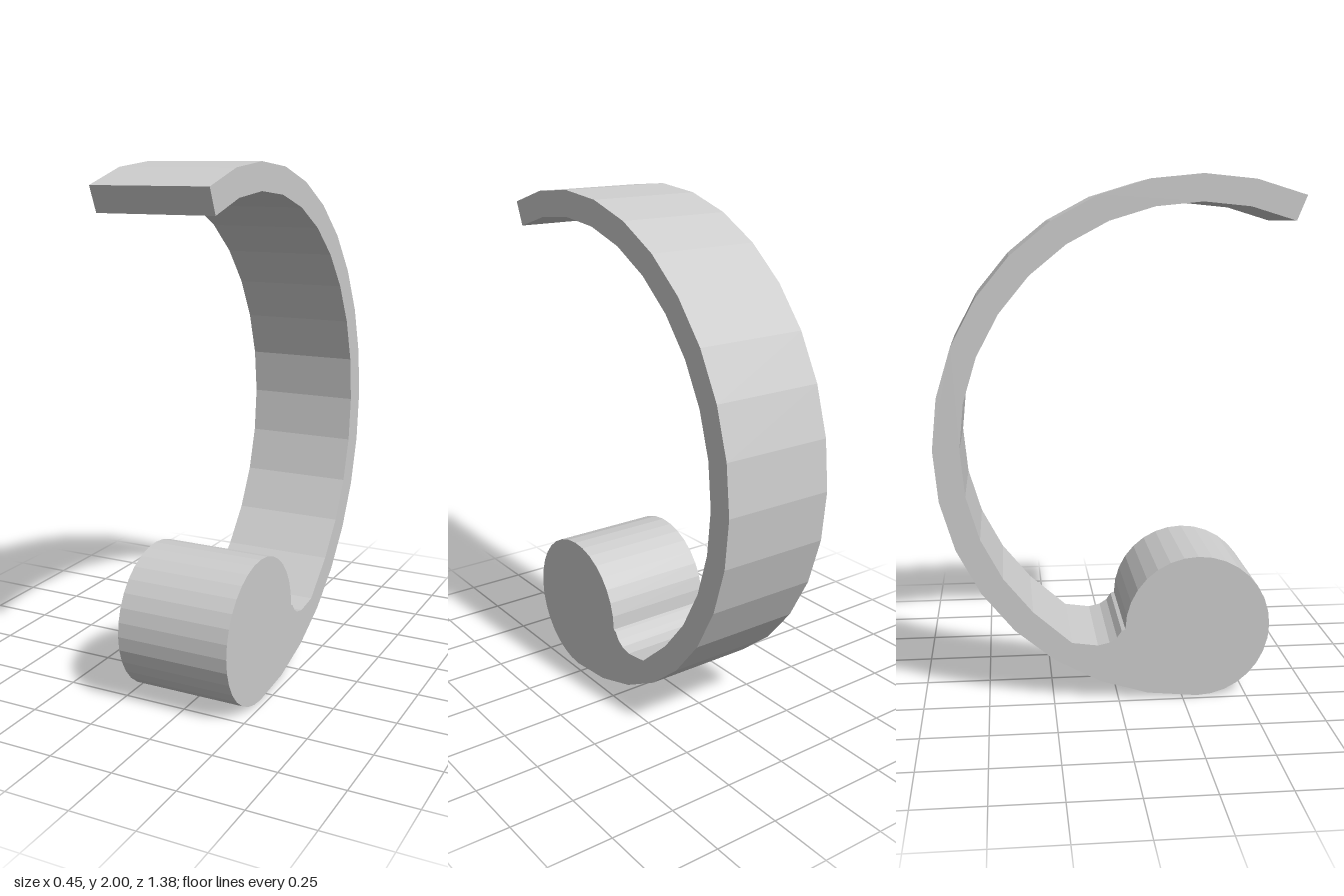
import * as THREE from 'three';

const WIDTH = 0.45;
const CENTRE_Z = 0.309; // shared centre line of the band and the roll
const deg = THREE.MathUtils.degToRad;

// Points along an arc; angles run from the top towards the back
function arc(cy, r, from, to, steps) {
  return Array.from({ length: steps + 1 }, (_, i) => {
    const a = deg(from + ((to - from) * i) / steps);
    return new THREE.Vector2(CENTRE_Z - r * Math.sin(a), cy + r * Math.cos(a));
  });
}

export function createModel() {
  const group = new THREE.Group();
  group.name = 'curledHook';

  // Side outline: outer curve, round roll, small fillet, inner curve
  const fillet = [[0.012, 0.277], [-0.006, 0.25], [-0.035, 0.231], [-0.08, 0.221], [-0.18, 0.235]]
    .map(([z, y]) => new THREE.Vector2(z, y));
  const outline = [
    ...arc(1, 1, -22.5, 180, 18),
    ...arc(0.2825, 0.2825, 180, 450, 24).slice(1),
    ...fillet,
    ...arc(1, 0.9, 135, -22.5, 14),
  ];

  // Extrude across the width and turn the outline into the side plane
  const geometry = new THREE.ExtrudeGeometry(new THREE.Shape(outline), {
    depth: WIDTH, bevelEnabled: false,
  });
  geometry.translate(0, 0, -WIDTH / 2);
  geometry.rotateY(-Math.PI / 2);

  const hook = new THREE.Mesh(
    geometry,
    new THREE.MeshStandardMaterial({ color: 0xcccccc, flatShading: true }),
  );
  hook.name = 'hookBand';
  group.add(hook);
  return group;
}
